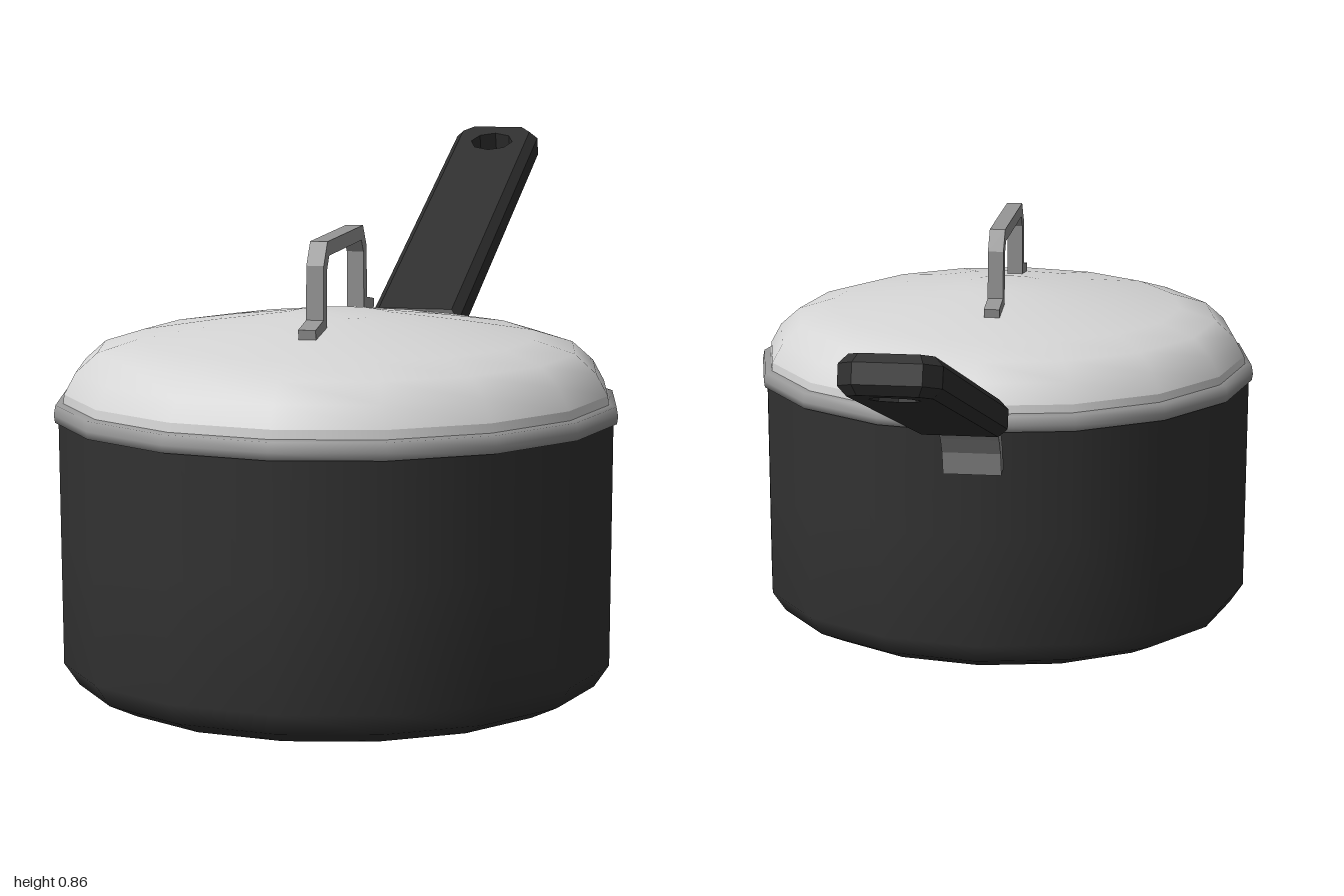
import * as THREE from 'three';

const POT_Z = 0.512;
const SIDES = 16;

const mat = (name, color, side = THREE.FrontSide) => {
  const m = new THREE.MeshStandardMaterial({ color, side });
  m.name = name;
  return m;
};

const vec = (pts) => pts.map(([x, y]) => new THREE.Vector2(x, y));

// Flat metal strip following a path in the z/y plane, mitred at each bend.
function strip(points, thickness, width) {
  const p = vec(points);
  const normal = (a, b) => new THREE.Vector2(a.y - b.y, b.x - a.x).normalize();
  const sideOf = (s) => p.map((q, i) => {
    const n1 = normal(p[Math.max(i - 1, 0)], p[Math.max(i, 1)]);
    const last = p.length - 1;
    const n2 = normal(p[Math.min(i, last - 1)], p[Math.min(i + 1, last)]);
    const n = n1.clone().add(n2).normalize();
    return q.clone().addScaledVector(n, (s * thickness / 2) / n.dot(n1));
  });
  const outline = [...sideOf(1), ...sideOf(-1).reverse()];
  const geo = new THREE.ExtrudeGeometry(new THREE.Shape(outline), { depth: width, bevelEnabled: false });
  geo.translate(0, 0, -width / 2);
  return geo.rotateY(-Math.PI / 2);
}

// Chamfered bar with a hanging hole, built along +y.
function gripGeometry() {
  const hole = new THREE.Vector2(0, 0.815);
  const holeR = 0.043;
  const shape = new THREE.Shape(vec([
    [-0.07, 0.013], [0.07, 0.013], [0.07, 0.868], [0.05, 0.892], [-0.05, 0.892], [-0.07, 0.868],
  ]));
  const path = new THREE.Path();
  path.absarc(hole.x, hole.y, holeR, 0, Math.PI * 2, true);
  shape.holes.push(path);
  const geo = new THREE.ExtrudeGeometry(shape, {
    depth: 0.036, bevelThickness: 0.016, bevelSize: 0.015, bevelSegments: 1, curveSegments: 4,
  });
  geo.translate(0, 0, -0.018);
  // Straighten the hole wall so only the outside is chamfered.
  const pos = geo.attributes.position;
  for (let i = 0; i < pos.count; i++) {
    const d = new THREE.Vector2(pos.getX(i), pos.getY(i)).sub(hole);
    if (d.length() < 0.07) {
      d.setLength(holeR).add(hole);
      pos.setXY(i, d.x, d.y);
    }
  }
  geo.computeVertexNormals();
  return geo;
}

export function createModel() {
  const model = new THREE.Group();
  model.name = 'saucepan';
  const black = mat('black coating', 0x323232, THREE.DoubleSide);
  const gripBlack = mat('grip black', 0x303030);
  const lidMetal = mat('lid metal', 0xd6d6d6, THREE.DoubleSide);
  const steel = mat('steel', 0x979797, THREE.DoubleSide);

  const add = (name, geo, material, z = 0, y = 0) => {
    const mesh = new THREE.Mesh(geo, material);
    mesh.name = name;
    mesh.position.set(0, y, z);
    model.add(mesh);
    return mesh;
  };
  const lathe = (pts) => new THREE.LatheGeometry(vec(pts), SIDES);

  // Pot body
  add('potBody', lathe([
    [0, 0], [0.4, 0], [0.452, 0.024], [0.478, 0.062], [0.48, 0.27], [0.482, 0.49],
  ]), black, POT_Z);

  // Rolled rim and the lid's lower band
  add('potRim', lathe([[0.476, 0.48], [0.488, 0.482], [0.49, 0.495], [0.487, 0.512], [0.47, 0.515]]), steel, POT_Z);
  add('lidBand', lathe([[0.474, 0.512], [0.472, 0.53]]), lidMetal, POT_Z);

  // Domed lid
  add('lid', lathe([
    [0.472, 0.53], [0.452, 0.567], [0.415, 0.6], [0.345, 0.622], [0.22, 0.642], [0.085, 0.66], [0, 0.661],
  ]), lidMetal, POT_Z);

  // Lid handle with splayed feet
  const half = [[-0.22, 0.646], [-0.153, 0.657], [-0.15, 0.755], [-0.128, 0.785]];
  const mirrored = half.map(([z, y]) => [-z, y]).reverse();
  add('lidHandle', strip([...half, ...mirrored], 0.025, 0.03), steel, POT_Z);

  // Curved bracket joining pot and grip
  add('handleBracket', strip([
    [0.026, 0.408], [0.012, 0.455], [-0.012, 0.49], [-0.05, 0.522], [-0.1, 0.543], [-0.17, 0.565],
  ], 0.026, 0.11), steel);

  // Long sloping grip
  add('handleGrip', gripGeometry(), gripBlack, -0.13, 0.55).rotation.x = -Math.PI / 2 + 0.322;

  return model;
}
